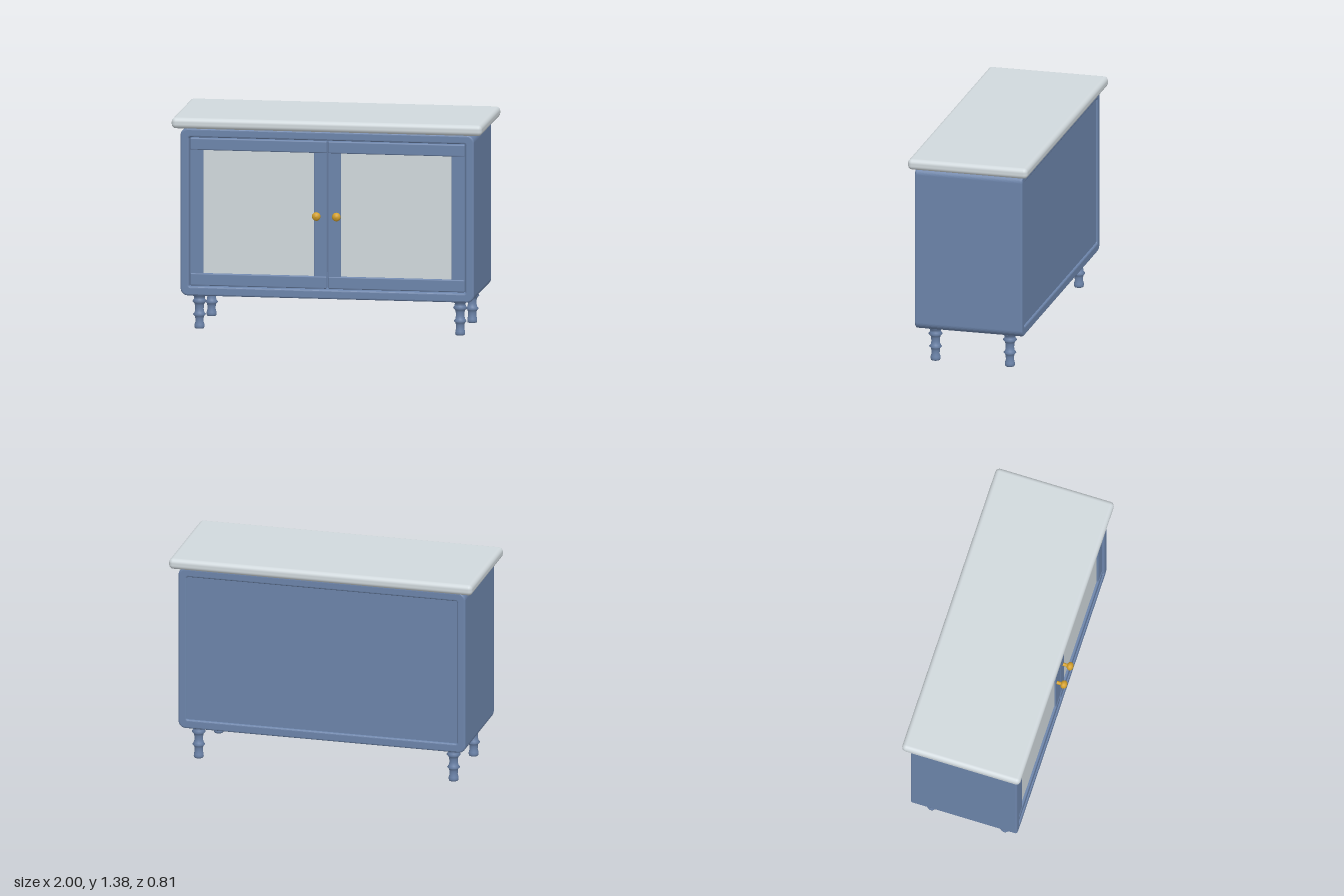
import * as THREE from 'three';
import { RoundedBoxGeometry } from 'three/addons/geometries/RoundedBoxGeometry.js';

const material = (name, color) => {
  const m = new THREE.MeshStandardMaterial({ color });
  m.name = name;
  return m;
};

// Traces a rectangle with rounded corners on a Shape or Path
function roundedRect(path, x0, y0, x1, y1, r) {
  path.moveTo(x0 + r, y0);
  path.lineTo(x1 - r, y0);
  path.absarc(x1 - r, y0 + r, r, -Math.PI / 2, 0, false);
  path.lineTo(x1, y1 - r);
  path.absarc(x1 - r, y1 - r, r, 0, Math.PI / 2, false);
  path.lineTo(x0 + r, y1);
  path.absarc(x0 + r, y1 - r, r, Math.PI / 2, Math.PI, false);
  path.lineTo(x0, y0 + r);
  path.absarc(x0 + r, y0 + r, r, Math.PI, Math.PI * 1.5, false);
  return path;
}

export function createModel() {
  const blue = material('blue paint', 0x6c84aa);
  const pale = material('pale grey', 0xd0d8dc);
  const brass = material('brass', 0xd4a02a);
  const model = new THREE.Group();
  model.name = 'sideboard';

  const add = (parent, name, geometry, mat, x = 0, y = 0, z = 0) => {
    const mesh = new THREE.Mesh(geometry, mat);
    mesh.name = name;
    mesh.position.set(x, y, z);
    parent.add(mesh);
    return mesh;
  };
  // Softly rounded box given by its extents
  const block = (parent, name, mat, [x0, x1], [y0, y1], [z0, z1], r) =>
    add(parent, name, new RoundedBoxGeometry(x1 - x0, y1 - y0, z1 - z0, 4, r), mat,
      (x0 + x1) / 2, (y0 + y1) / 2, (z0 + z1) / 2);

  // Worktop with rounded edges
  block(model, 'worktop', pale, [-1, 1], [1.305, 1.375], [-0.405, 0.385], 0.028);

  // Cabinet shell, open at front and back
  const bevel = 0.012;
  const outline = roundedRect(new THREE.Shape(),
    -0.946 + bevel, 0.225 + bevel, 0.946 - bevel, 1.305 - bevel, 0.035);
  outline.holes.push(roundedRect(new THREE.Path(),
    -0.89 - bevel, 0.285 - bevel, 0.89 + bevel, 1.247 + bevel, 0.02));
  const shell = new THREE.ExtrudeGeometry(outline, {
    depth: 0.71 - 2 * bevel, bevelThickness: bevel, bevelSize: bevel,
    bevelSegments: 4, curveSegments: 8,
  });
  add(model, 'cabinetShell', shell, blue, 0, 0, -0.36 + bevel);

  // Back panel, set in slightly
  add(model, 'backPanel', new THREE.BoxGeometry(1.81, 0.99, 0.02), blue, 0, 0.766, -0.338);

  // Round brass knob, turned around the z axis
  const knobProfile = [[0, 0], [0.016, 0], [0.011, 0.008], [0.011, 0.034], [0.018, 0.036],
    [0.025, 0.043], [0.028, 0.053], [0.025, 0.064], [0.016, 0.072], [0, 0.075]]
    .map(([r, y]) => new THREE.Vector2(r, y));
  const knobGeometry = new THREE.LatheGeometry(knobProfile, 24).rotateX(Math.PI / 2);

  // Pair of framed doors
  for (const side of [1, -1]) {
    const door = new THREE.Group();
    door.name = side > 0 ? 'leftDoor' : 'rightDoor';
    model.add(door);
    const span = (a, b) => (side > 0 ? [a, b] : [-b, -a]);
    const depth = [0.3, 0.342];
    block(door, 'topRail', blue, span(0.004, 0.885), [1.165, 1.242], depth, 0.008);
    block(door, 'bottomRail', blue, span(0.004, 0.885), [0.29, 0.37], depth, 0.008);
    block(door, 'innerStile', blue, span(0.004, 0.086), [0.362, 1.173], [0.3, 0.338], 0.003);
    block(door, 'outerStile', blue, span(0.8, 0.885), [0.362, 1.173], [0.3, 0.338], 0.003);
    add(door, 'doorPanel', new THREE.BoxGeometry(0.73, 0.81, 0.016), pale,
      side * 0.443, 0.7675, 0.319);
    add(door, 'knob', knobGeometry, brass, side * 0.065, 0.763, 0.331);
  }

  // Turned legs
  const legProfile = [[0, 0], [0.029, 0], [0.032, 0.01], [0.031, 0.025], [0.026, 0.042],
    [0.027, 0.065], [0.031, 0.08], [0.041, 0.09], [0.031, 0.102], [0.027, 0.125],
    [0.029, 0.15], [0.034, 0.163], [0.045, 0.175], [0.036, 0.188], [0.034, 0.205],
    [0.05, 0.214], [0.05, 0.23], [0, 0.23]]
    .map(([r, y]) => new THREE.Vector2(r, y));
  const legGeometry = new THREE.LatheGeometry(legProfile, 24);
  for (const x of [-0.84, 0.84]) {
    add(model, 'frontLeg', legGeometry, blue, x, 0, 0.24);
    add(model, 'backLeg', legGeometry, blue, x, 0, -0.25);
  }
  return model;
}
